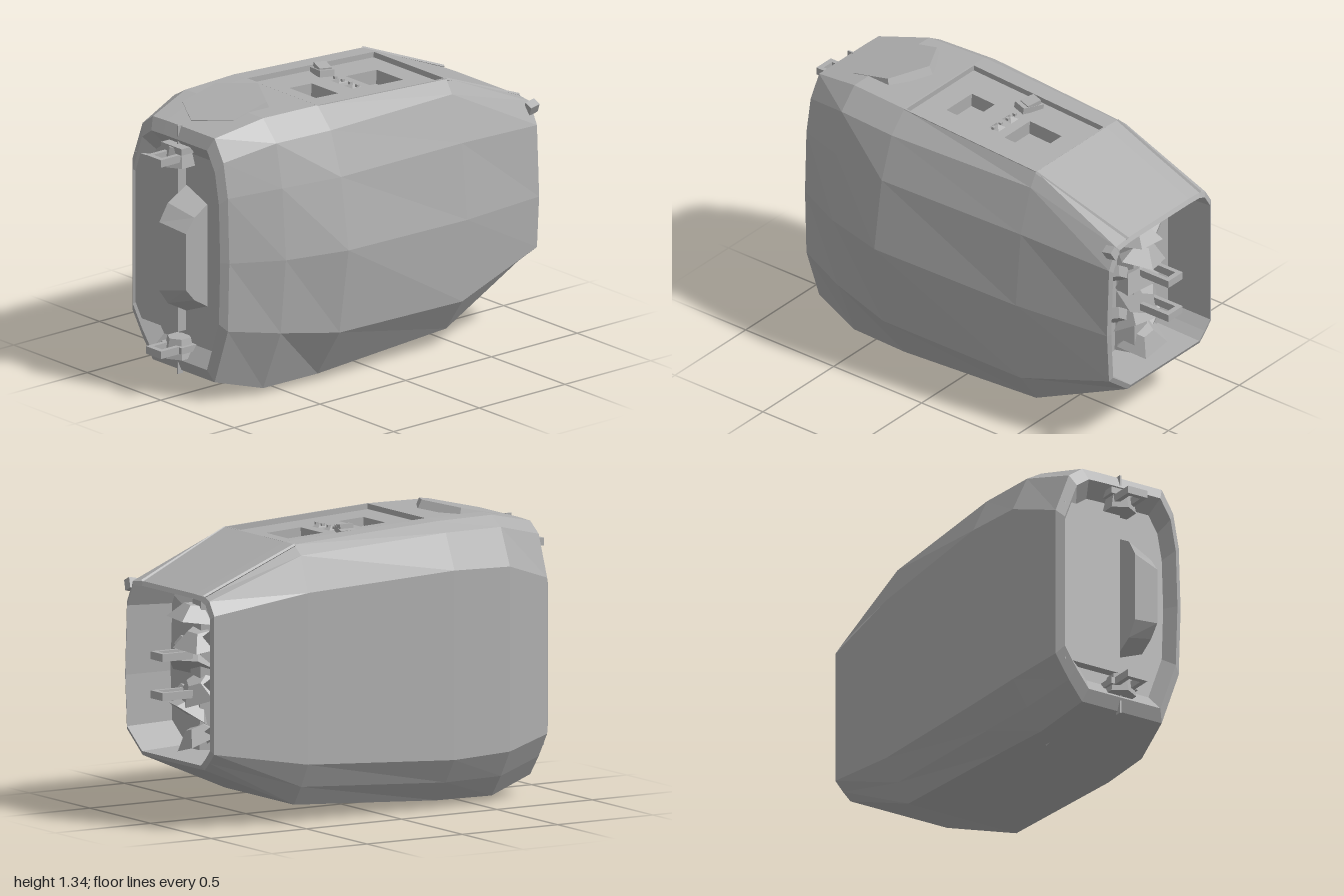
import * as THREE from 'three';

const steel = new THREE.MeshStandardMaterial({ color: 0xaeaeae });
steel.name = 'grey';

// Faceted mesh from any geometry
function part(geo, name, parent, x = 0, y = 0, z = 0, rx = 0, ry = 0, rz = 0) {
  const g = geo.index ? geo.toNonIndexed() : geo;
  g.computeVertexNormals();
  const m = new THREE.Mesh(g, steel);
  m.name = name;
  m.position.set(x, y, z);
  m.rotation.set(rx, ry, rz);
  parent.add(m);
}
const box = (w, h, d) => new THREE.BoxGeometry(w, h, d);

// One hull cross-section, clockwise from the lower left corner:
// flat left side, left chamfers, top and bottom strips, bulging right side
function section(z, s) {
  const { left, low, high, top, bottom, stripL, stripR, hatchL, right } = s;
  const chamferX = (left + stripL) / 2;
  return [
    [left, low], [left, high],
    [chamferX, high + (top - high) * 0.78], [stripL, top - 0.003],
    [hatchL, top], [stripR, top],
    ...right,
    [stripR, bottom], [stripL, bottom],
    [chamferX, bottom + (low - bottom) * 0.45],
  ].map(([x, y]) => [x, y, z]);
}

const hull = [
  section(0.84, { left: -.38, low: .3, high: 1, top: 1.24, bottom: .1, stripL: -.24, stripR: .18, hatchL: -.15,
    right: [[.24, 1.14], [.27, .98], [.28, .68], [.27, .36]] }),
  section(0.6, { left: -.45, low: .25, high: 1.08, top: 1.295, bottom: .033, stripL: -.3, stripR: .23, hatchL: -.2,
    right: [[.32, 1.2], [.36, 1], [.385, .67], [.35, .32]] }),
  section(0.3, { left: -.465, low: .24, high: 1.09, top: 1.295, bottom: .04, stripL: -.32, stripR: .25, hatchL: -.24,
    right: [[.34, 1.2], [.41, 1], [.462, .67], [.4, .27]] }),
  section(-0.45, { left: -.435, low: .28, high: 1.05, top: 1.255, bottom: .085, stripL: -.32, stripR: .25, hatchL: -.24,
    right: [[.29, 1.19], [.36, .98], [.395, .63], [.36, .24]] }),
  section(-0.92, { left: -.4, low: .36, high: .98, top: 1.06, bottom: .28, stripL: -.32, stripR: .19, hatchL: -.24,
    right: [[.27, 1.05], [.32, .95], [.335, .62], [.32, .38]] }),
];

// Copy of a section shrunk towards its middle
const inset = (ring, s, z, cx) => ring.map(([x, y]) => [cx + (x - cx) * s, 0.67 + (y - 0.67) * s, z]);

function hullGeometry() {
  const first = hull[0], last = hull[hull.length - 1];
  const rings = [
    inset(first, 0.78, 0.81, -0.05), inset(first, 0.9, 0.865, -0.05), ...hull,
    inset(last, 0.95, -0.93, -0.03), inset(last, 0.92, -0.7, -0.03),
  ];
  const out = [];
  const n = first.length;
  for (let i = 0; i < rings.length - 1; i++) {
    for (let j = 0; j < n; j++) {
      if (j === 4 && i === 4) continue; // opening for the top hatch
      const k = (j + 1) % n, p = rings[i], q = rings[i + 1];
      out.push(...p[j], ...p[k], ...q[k], ...p[j], ...q[k], ...q[j]);
    }
  }
  // Recess floors at both ends
  const f = rings[0], b = rings[rings.length - 1];
  for (let j = 0; j < n; j++) {
    const k = (j + 1) % n;
    out.push(-.05, .67, f[0][2], ...f[k], ...f[j]);
    out.push(-.03, .67, b[0][2], ...b[j], ...b[k]);
  }
  const g = new THREE.BufferGeometry();
  g.setAttribute('position', new THREE.Float32BufferAttribute(out, 3));
  return g;
}

function rect(target, x0, y0, x1, y1) {
  target.moveTo(x0, y0);
  target.lineTo(x1, y0);
  target.lineTo(x1, y1);
  target.lineTo(x0, y1);
  target.closePath();
  return target;
}

// Sunken hatch plate with two square pockets
function topHatch() {
  const g = new THREE.Group();
  g.name = 'topHatch';
  g.position.set(0.005, 1.275, -0.075);
  g.rotation.x = -0.0533;
  const shape = rect(new THREE.Shape(), -.245, -.375, .245, .375);
  shape.holes.push(rect(new THREE.Path(), -.085, .075, .095, .255));
  shape.holes.push(rect(new THREE.Path(), -.085, -.255, .095, -.125));
  const plate = new THREE.ExtrudeGeometry(shape, { depth: 0.07, bevelEnabled: false });
  part(plate, 'hatchPlate', g, 0, -0.095, 0, -Math.PI / 2);
  part(box(.3, .01, .7), 'pocketFloor', g, 0, -0.095, 0);
  for (const s of [-1, 1]) {
    part(box(.008, .06, .75), 'hatchSideWall', g, s * .243, -.03, 0);
    part(box(.49, .06, .008), 'hatchEndWall', g, 0, -.03, s * .373);
    part(new THREE.ConeGeometry(.05, .02, 4), 'wedge', g, .005 + s * .045, -.02, 0, 0, Math.PI / 4);
  }
  for (let i = 0; i < 4; i++) part(box(.014, .012, .014), 'stud', g, -.07 + i * .05, -.014, 0);
  part(box(.11, .03, .07), 'lever', g, -.165, -.012, -.005, 0, -.3, .12);
  part(box(.07, .02, .06), 'leverTip', g, -.17, .008, -.01, 0, -.3, -.15);
  return g;
}

// Latch with a looped prong; dir is +1 at the front, -1 at the back
function latch(y, zBase, dir) {
  const g = new THREE.Group();
  g.name = dir > 0 ? 'frontLatch' : 'rearLatch';
  g.position.set(-0.05, y, zBase);
  const length = 1 - Math.abs(zBase);
  for (const s of [-1, 1]) part(box(.022, .035, length), 'prongArm', g, s * .04, 0, dir * length / 2);
  part(box(.1, .035, .025), 'prongBar', g, 0, 0, dir * (length - .0125));
  if (dir > 0) {
    part(new THREE.CylinderGeometry(.055, .075, .09, 6), 'latchBlock', g);
    part(box(.14, .03, .09), 'latchPlate', g, 0, y > 0.6 ? .035 : 0, 0);
  }
  return g;
}

// Long grip with chamfered ends and a sloped outer side
function frontGrip() {
  const s = new THREE.Shape();
  [[.36, .79], [.43, .92], [.5, .97], [.82, .97], [.9, .92], [.97, .79]]
    .forEach(([y, z], i) => (i ? s.lineTo(z, y) : s.moveTo(z, y)));
  const g = new THREE.ExtrudeGeometry(s, { depth: 0.14, bevelEnabled: false });
  g.rotateY(-Math.PI / 2); // profile depth to +z, width to -x
  const p = g.attributes.position;
  for (let i = 0; i < p.count; i++) {
    const right = p.getX(i) > -0.07;
    p.setX(i, p.getX(i) + 0.095);
    if (right) p.setY(i, 0.665 + (p.getY(i) - 0.665) * 0.82);
    if (right && p.getZ(i) > 0.9) p.setZ(i, p.getZ(i) - 0.035);
  }
  return g;
}

export function createModel() {
  const model = new THREE.Group();
  model.name = 'pod';
  part(hullGeometry(), 'hull', model);
  model.add(topHatch());

  // Six-sided covers, top and bottom
  part(new THREE.CylinderGeometry(.2, .21, .04, 6), 'topCover', model, -.045, 1.28, .585, .22);
  part(new THREE.CylinderGeometry(.21, .2, .04, 6), 'bottomCover', model, -.03, .069, .585, -.22);

  // Front door, grip and seams
  part(box(.29, .77, .06), 'frontDoor', model, -.195, .665, .825);
  part(frontGrip(), 'frontGrip', model);
  part(box(.008, .13, .03), 'upperSeam', model, -.05, 1.18, .845);
  part(box(.008, .13, .03), 'lowerSeam', model, -.05, .15, .845);

  for (const y of [1.11, .215]) model.add(latch(y, .85, 1));
  for (const y of [.76, .585]) model.add(latch(y, -.84, -1));

  // Machinery column in the rear recess
  const core = new THREE.Group();
  core.name = 'rearMachinery';
  model.add(core);
  part(new THREE.CylinderGeometry(.06, .08, .68, 5), 'spine', core, -.05, .67, -.74);
  for (let i = 0; i < 6; i++) {
    const y = .4 + i * .108, side = i % 2 ? 1 : -1;
    part(new THREE.CylinderGeometry(.05, .12, .07, 5), 'collar', core, -.05 + side * .02, y, -.79, side * .35, i, side * .25);
    part(box(.13, .05, .08), 'bracket', core, -.05 + side * .11, y + .03, -.75, .3 * side, .4, .5 * side);
  }

  // Edge rails along the rear slope, a corner ear and a side marker
  for (const [x, x2] of [[-.325, -.322], [.25, .19]]) {
    const path = new THREE.LineCurve3(new THREE.Vector3(x, 1.25, -.45), new THREE.Vector3(x2, 1.058, -.925));
    part(new THREE.TubeGeometry(path, 1, .008, 4), 'rearRail', model);
  }
  part(box(.04, .05, .05), 'cornerEar', model, .295, 1.03, -.91, .2, 0, -.5);
  part(box(.012, .045, .02), 'sideMarker', model, .29, .915, .76);
  return model;
}
